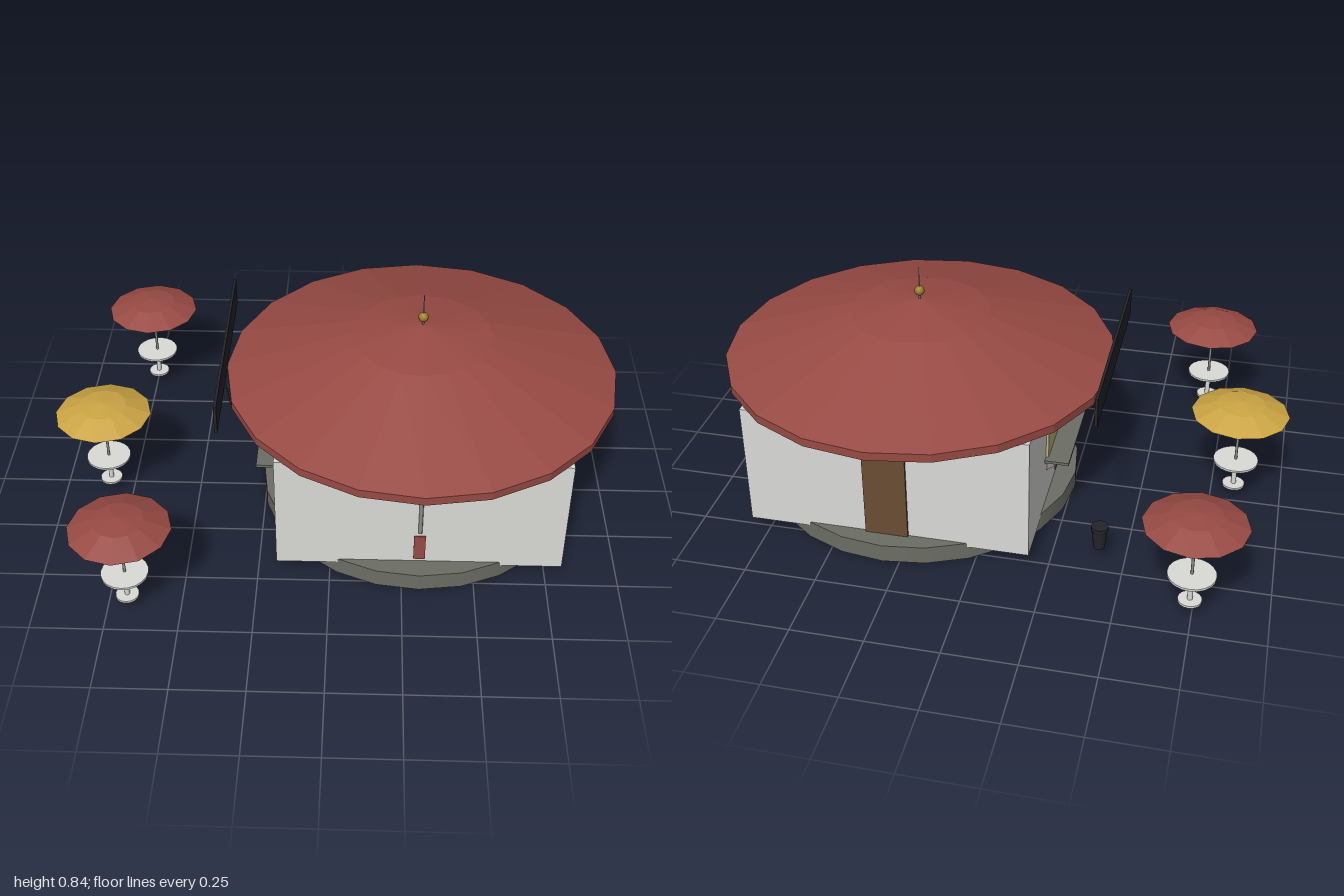
import * as THREE from 'three';

export function createModel() {
  const model = new THREE.Group();
  const mat = (name, color, opts = {}) => {
    const m = new THREE.MeshStandardMaterial({ color, ...opts });
    m.name = name;
    return m;
  };
  const low = { flatShading: true };
  const wall = mat('pale wall', 0xdadad7);
  const red = mat('roof red', 0x984a44, { ...low, side: THREE.DoubleSide });
  const yellow = mat('yellow', 0xcba444, { ...low, side: THREE.DoubleSide });
  const stone = mat('base stone', 0x6c6e65);
  const metal = mat('grey metal', 0x8a8c89);
  const black = mat('black', 0x24242b);
  const brown = mat('door brown', 0x694d34);
  const glass = mat('window tan', 0xbfb47e);
  const gold = mat('gold', 0x9c7c2c);

  const add = (parent, name, geo, material, x = 0, y = 0, z = 0) => {
    const m = new THREE.Mesh(geo, material);
    m.name = name;
    m.position.set(x, y, z);
    parent.add(m);
    return m;
  };
  const box = (w, h, d) => new THREE.BoxGeometry(w, h, d);
  const cyl = (rt, rb, h, n = 12) => new THREE.CylinderGeometry(rt, rb, h, n);
  const lathe = (pts, n) => new THREE.LatheGeometry(pts.map(p => new THREE.Vector2(...p)), n);

  // Round kiosk
  const kiosk = new THREE.Group();
  kiosk.name = 'kiosk';
  kiosk.position.set(0.31, 0, -0.035);
  model.add(kiosk);
  const half = 0.495;
  add(kiosk, 'base', cyl(0.57, 0.57, 0.065, 24), stone, 0, 0.0325, 0);
  add(kiosk, 'walls', box(2 * half, 0.45, 2 * half), wall, 0, 0.275, 0);
  add(kiosk, 'roof', lathe([[0.69, 0.5], [0.69, 0.53], [0.245, 0.678], [0, 0.72]], 20), red);
  const soffit = add(kiosk, 'soffit', new THREE.CircleGeometry(0.69, 20), metal, 0, 0.5, 0);
  soffit.rotation.x = Math.PI / 2;

  // Finial
  add(kiosk, 'finialRod', cyl(0.001, 0.004, 0.13, 8), metal, 0, 0.775, 0);
  add(kiosk, 'finialBall', new THREE.SphereGeometry(0.018, 12, 8), gold, 0, 0.75, 0);

  // Slim post and red panel in the middle of each wall
  for (let i = 0; i < 4; i++) {
    const side = new THREE.Group();
    side.name = 'wallTrim';
    side.rotation.y = i * Math.PI / 2;
    kiosk.add(side);
    add(side, 'wallPost', cyl(0.007, 0.007, 0.225, 8), metal, 0, 0.31, half);
    add(side, 'redPanel', box(0.04, 0.105, 0.006), red, 0, 0.13, half + 0.001);
  }

  // Back door
  add(kiosk, 'door', box(0.15, 0.33, 0.009), brown, 0, 0.23, -half - 0.005);

  // Serving window with counter and triangular brackets
  add(kiosk, 'servingWindow', box(0.009, 0.17, 0.4), glass, -half - 0.005, 0.335, 0);
  add(kiosk, 'counter', box(0.085, 0.01, 0.45), stone, -half - 0.0425, 0.25, 0);
  const tri = new THREE.Shape([[0, 0], [0, -0.06], [-0.075, 0]].map(p => new THREE.Vector2(...p)));
  for (const z of [-0.18, 0.17]) {
    add(kiosk, 'counterBracket',
      new THREE.ExtrudeGeometry(tri, { depth: 0.01, bevelEnabled: false }), metal, -half, 0.245, z);
  }

  // Sign board along the roof edge
  add(model, 'signBoard', box(0.01, 0.105, 0.78), black, -0.382, 0.585, -0.04);

  // Litter bin
  const bin = new THREE.Group();
  bin.name = 'litterBin';
  bin.position.set(-0.41, 0, -0.43);
  model.add(bin);
  add(bin, 'binBody', cyl(0.027, 0.02, 0.075), black, 0, 0.0875, 0);
  add(bin, 'binRim', cyl(0.03, 0.03, 0.014), black, 0, 0.13, 0);

  // Tables with parasols
  const parasols = [[-0.74, -0.64, red], [-0.83, 0.035, yellow], [-0.68, 0.635, red]];
  for (const [x, z, canopy] of parasols) {
    const set = new THREE.Group();
    set.name = 'parasolTable';
    set.position.set(x, 0, z);
    model.add(set);
    add(set, 'foot', cyl(0.04, 0.04, 0.008, 16), wall, 0, 0.052, 0);
    add(set, 'pedestal', cyl(0.009, 0.009, 0.1), wall, 0, 0.105, 0);
    add(set, 'tableTop', cyl(0.08, 0.08, 0.008, 20), wall, 0, 0.156, 0);
    add(set, 'pole', cyl(0.005, 0.005, 0.24, 8), metal, 0, 0.275, 0);
    add(set, 'canopy', lathe([[0.172, 0.357], [0.085, 0.393], [0, 0.404]], 12), canopy);
  }
  return model;
}
